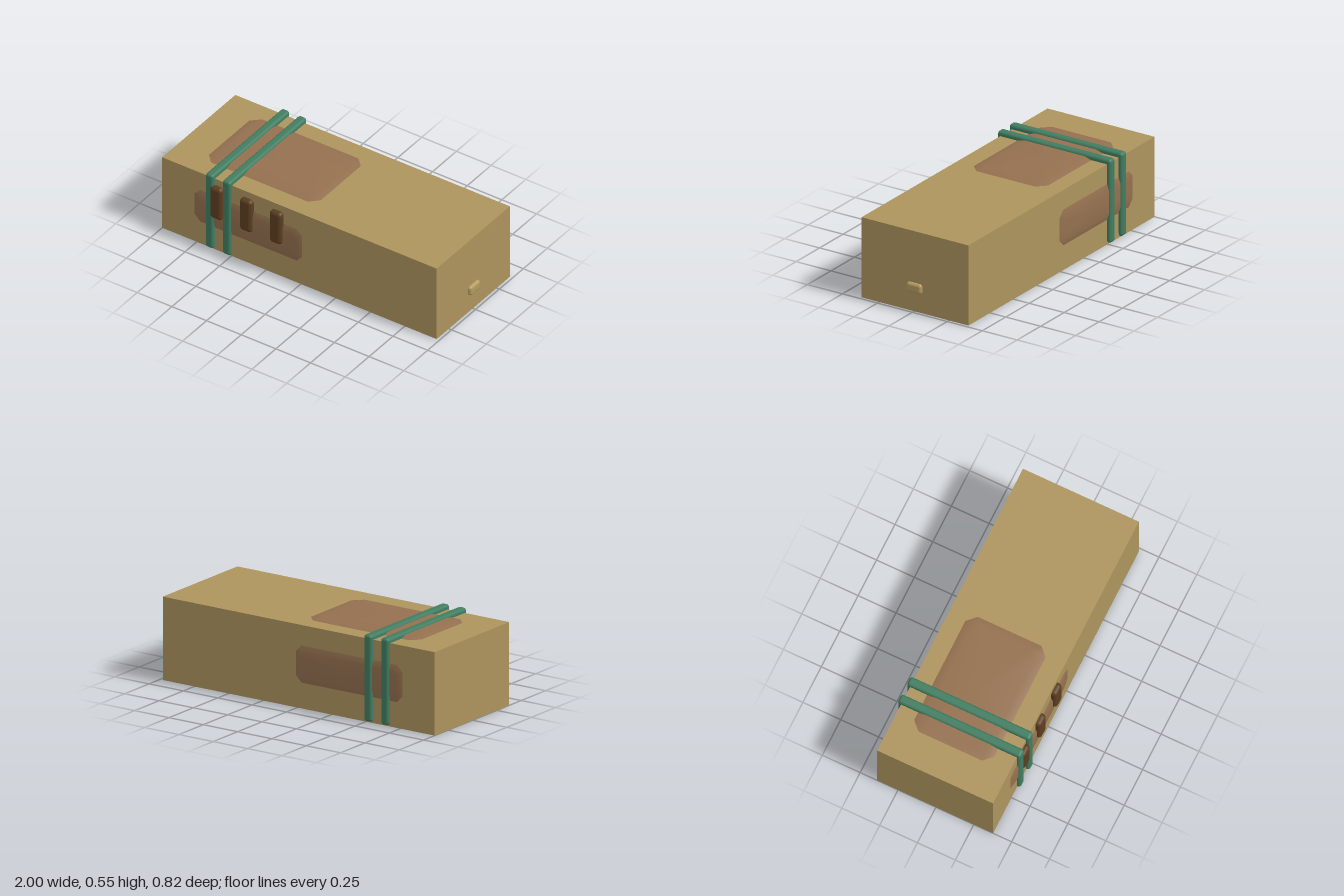
import * as THREE from 'three';
import { RoundedBoxGeometry } from 'three/addons/geometries/RoundedBoxGeometry.js';

const material = (name, color) => {
  const m = new THREE.MeshStandardMaterial({ color });
  m.name = name;
  return m;
};

// Shallow pad lying in XY and rising along +z: chamfered outline, smaller raised face
function padGeometry(w, h, rise, corner, inset) {
  const ring = (a, b, c, z) => [
    [a, -b + c, z], [a, b - c, z], [a - c, b, z], [-a + c, b, z],
    [-a, b - c, z], [-a, -b + c, z], [-a + c, -b, z], [a - c, -b, z],
  ];
  const points = [
    ...ring(w / 2, h / 2, corner, 0),
    ...ring(w / 2 - inset, h / 2 - inset, corner * 0.8, rise),
    [0, 0, rise],
  ];
  const index = [];
  for (let i = 0; i < 8; i++) {
    const j = (i + 1) % 8;
    index.push(i, j, 8 + j, i, 8 + j, 8 + i, 8 + i, 8 + j, 16);
  }
  const g = new THREE.BufferGeometry();
  g.setAttribute('position', new THREE.Float32BufferAttribute(points.flat(), 3));
  g.setIndex(index);
  g.computeVertexNormals();
  return g;
}

export function createModel() {
  const model = new THREE.Group();
  model.name = 'strappedBlock';

  const tan = material('tan', 0xad945d);
  const paleTan = material('paleTan', 0xb59a62);
  const clay = material('clay', 0x94704f);
  const darkBrown = material('darkBrown', 0x5c3e20);
  const green = material('green', 0x417d61);

  const add = (name, geometry, mat, x, y, z, parent = model) => {
    const mesh = new THREE.Mesh(geometry, mat);
    mesh.name = name;
    mesh.position.set(x, y, z);
    parent.add(mesh);
    return mesh;
  };

  // Main block
  const top = 0.517, front = 0.377, back = -0.388;
  add('body', new THREE.BoxGeometry(1.98, top, front - back), tan, -0.01, top / 2, (front + back) / 2);

  // Raised pads on the top, front and back
  const topPad = add('topPad', padGeometry(0.806, 0.53, 0.014, 0.055, 0.05), clay, -0.382, top, -0.01);
  topPad.rotation.x = -Math.PI / 2;
  const sidePad = padGeometry(0.775, 0.23, 0.011, 0.04, 0.038);
  add('frontPad', sidePad, clay, -0.378, 0.275, front);
  add('backPad', sidePad, clay, -0.378, 0.275, back).rotation.y = Math.PI;

  // Two straps, each a bar over the top with a leg down the front and back
  const t = 0.057, outerFront = 0.4, outerBack = -0.411, strapTop = 0.546, strapFoot = 0.008;
  const bar = new RoundedBoxGeometry(t, t, outerFront - outerBack, 4, 0.018);
  const leg = new RoundedBoxGeometry(t, strapTop - strapFoot, t, 4, 0.018);
  for (const x of [-0.648, -0.525]) {
    const strap = new THREE.Group();
    strap.name = 'strap';
    model.add(strap);
    const legY = (strapTop + strapFoot) / 2;
    add('strapBar', bar, green, x, strapTop - t / 2, (outerFront + outerBack) / 2, strap);
    add('strapFrontLeg', leg, green, x, legY, outerFront - t / 2, strap);
    add('strapBackLeg', leg, green, x, legY, outerBack + t / 2, strap);
  }

  // Row of upright lugs on the front
  const lug = new RoundedBoxGeometry(0.086, 0.23, 0.08, 4, 0.024);
  for (const x of [-0.597, -0.382, -0.167]) add('frontLug', lug, darkBrown, x, 0.358, 0.371);

  // Small button on the end
  add('endButton', new RoundedBoxGeometry(0.06, 0.064, 0.107, 4, 0.018), paleTan, 0.97, 0.153, -0.005);

  return model;
}
